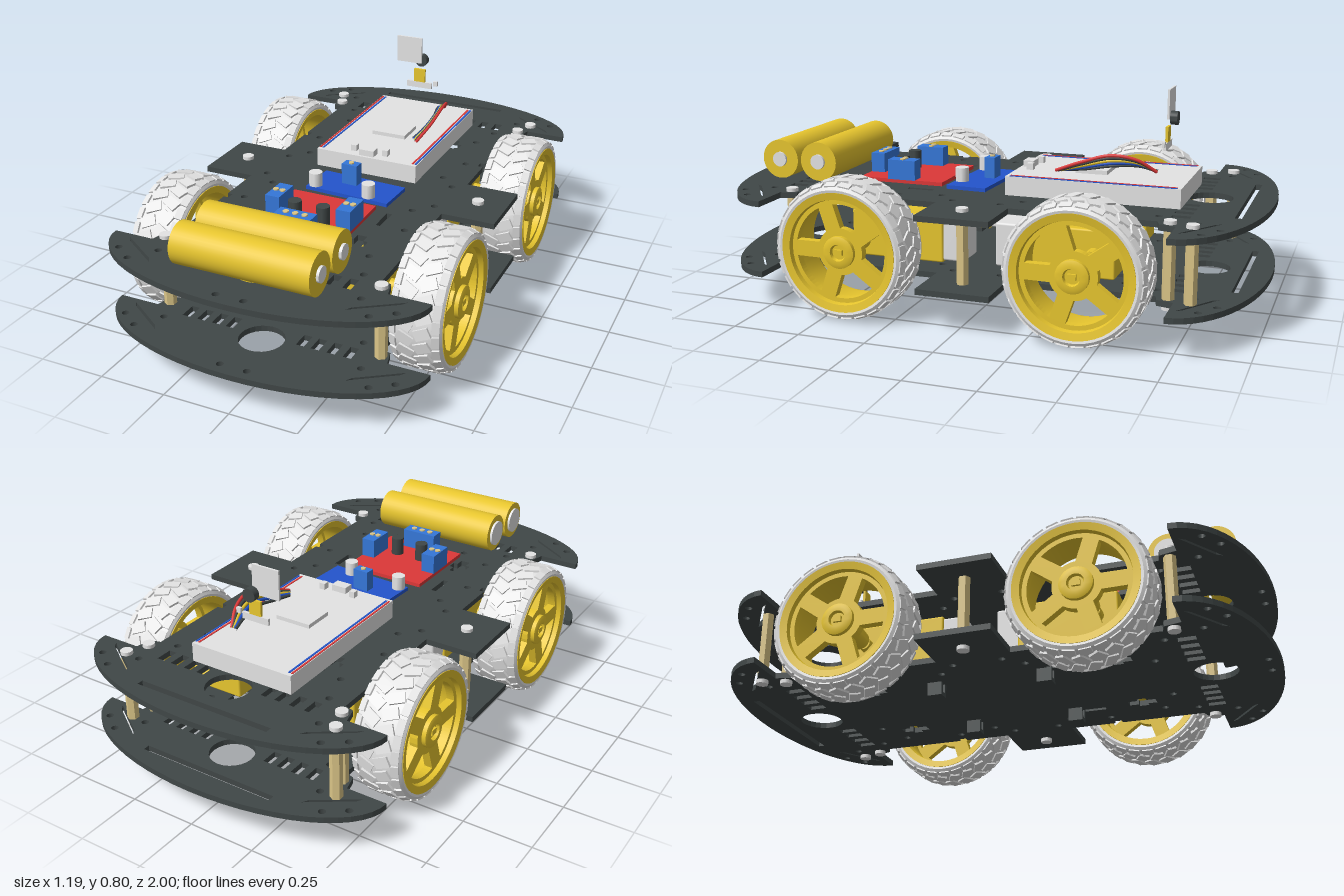
import * as THREE from 'three';
import { mergeGeometries, toCreasedNormals } from 'three/addons/utils/BufferGeometryUtils.js';
import { RoundedBoxGeometry } from 'three/addons/geometries/RoundedBoxGeometry.js';

const mat = (name, color) => Object.assign(new THREE.MeshStandardMaterial({ color }), { name });
const M = {
  dark: mat('charcoal', 0x404747),
  yellow: mat('yellow', 0xeac82f),
  grey: mat('light grey', 0xe4e4e4),
  brass: mat('brass', 0xdcc688),
  red: mat('red', 0xdc3838),
  blue: mat('board blue', 0x2354cc),
  terminal: mat('terminal blue', 0x3577d8),
};

function add(parent, name, geo, material, x = 0, y = 0, z = 0) {
  const mesh = new THREE.Mesh(geo, material);
  mesh.name = name;
  mesh.position.set(x, y, z);
  parent.add(mesh);
  return mesh;
}
const box = (w, h, d) => new THREE.BoxGeometry(w, h, d);
const cyl = (r, h, n = 24) => toCreasedNormals(new THREE.CylinderGeometry(r, r, h, n), 0.7);
const cylX = (r, h, n) => cyl(r, h, n).rotateZ(-Math.PI / 2);
const lathe = (pts, n) => toCreasedNormals(
  new THREE.LatheGeometry(pts.map(p => new THREE.Vector2(...p)), n).rotateZ(-Math.PI / 2), 0.6);
const polygon = pts => new THREE.Path(pts.map(p => new THREE.Vector2(...p)));
const SIGNS = [1, -1];

// Chassis plate: curved bumpers, wheel cut-outs, side tabs and mounting holes
function plateGeometry() {
  const quarter = [];
  for (let i = 0; i <= 14; i++) {
    const a = (i / 14) * Math.PI / 2;
    quarter.push([0.59 * Math.sin(a), 0.73 + 0.27 * Math.cos(a)]);
  }
  quarter.push([0.44, 0.73], [0.425, 0.67], [0.39, 0.66], [0.39, 0.34], [0.37, 0.34], [0.37, 0.31],
    [0.39, 0.31], [0.39, 0.135], [0.587, 0.135]);
  const half = [...quarter, ...quarter.map(([x, z]) => [x, -z]).reverse()];
  const outline = [...half, ...half.slice(1, -1).map(([x, z]) => [-x, z]).reverse()].reverse();
  const shape = new THREE.Shape(outline.map(p => new THREE.Vector2(...p)));

  const hole = pts => shape.holes.push(polygon(pts));
  const round = (x, z, r) => shape.holes.push(new THREE.Path().absarc(x, z, r, 0, Math.PI * 2, true));
  const rect = (x, z, w, d) => hole(
    [[x - w / 2, z - d / 2], [x - w / 2, z + d / 2], [x + w / 2, z + d / 2], [x + w / 2, z - d / 2]]);
  const cross = (x, z, a, b, t) => hole([[-a, -t], [-t, -t], [-t, -b], [t, -b], [t, -t], [a, -t],
    [a, t], [t, t], [t, b], [-t, b], [-t, t], [-a, t]].map(([u, v]) => [x + u, z + v]));

  rect(0, -0.906, 0.53, 0.024);
  for (const sx of SIGNS) {
    round(sx * 0.05, 0.957, 0.013);
    rect(sx * 0.222, 0.265, 0.02, 0.1);
    for (const sz of SIGNS) {
      if (sx > 0) round(0, sz * 0.77, 0.08);
      for (const [x, z] of [[0.51, 0.825], [0.44, 0.875], [0.375, 0.79], [0.32, 0.65], [0.32, 0.31],
        [0.345, 0.09], [0.285, 0.53], [0.285, 0.155], [0.16, 0.585]]) round(sx * x, sz * z, 0.013);
      for (const x of [0.135, 0.19, 0.248, 0.307]) rect(sx * x, sz * 0.722, 0.03, 0.064);
      cross(sx * 0.205, sz * 0.46, 0.035, 0.052, 0.018);
      hole([[0.518, 0.75], [0.503, 0.772], [0.358, 0.871], [0.372, 0.849]].map(([x, z]) => [sx * x, sz * z]));
    }
  }
  return new THREE.ExtrudeGeometry(shape, { depth: 0.021, bevelEnabled: false, curveSegments: 12 }).rotateX(Math.PI / 2);
}

// Fine tread: slanted centre blocks with shoulder blocks
function treadGeometry() {
  const blocks = [], count = 28;
  for (let i = 0; i < count; i++) {
    for (const s of SIGNS) {
      const a = ((i + (s > 0 ? 0 : 0.5)) / count) * Math.PI * 2;
      blocks.push(box(0.056, 0.012, 0.038).rotateY(s * 0.45).translate(s * 0.031, 0.2455, 0).rotateX(a));
      blocks.push(box(0.026, 0.012, 0.042).rotateZ(-s * 0.35).translate(s * 0.074, 0.2385, 0).rotateX(a + 0.1));
    }
  }
  return mergeGeometries(blocks);
}

// Five-spoke disc, with one spoke pointing to the front
function spokeGeometry() {
  const disc = new THREE.Shape().absarc(0, 0, 0.195, 0, Math.PI * 2);
  for (let i = 0; i < 5; i++) {
    const mid = ((i + 0.5) / 5) * Math.PI * 2;
    const hole = new THREE.Path();
    hole.absarc(0, 0, 0.17, mid - 0.46, mid + 0.46, false);
    hole.absarc(0, 0, 0.085, mid + 0.28, mid - 0.28, true);
    hole.closePath();
    disc.holes.push(hole);
  }
  return toCreasedNormals(new THREE.ExtrudeGeometry(disc, { depth: 0.03, bevelEnabled: false, curveSegments: 24 })
    .rotateY(-Math.PI / 2), 0.6);
}

function createWheel() {
  const wheel = new THREE.Group();
  wheel.name = 'wheel';
  add(wheel, 'tyre', lathe([[0.205, -0.088], [0.225, -0.0925], [0.236, -0.086], [0.2445, -0.055], [0.2465, 0],
    [0.2445, 0.055], [0.236, 0.086], [0.225, 0.0925], [0.205, 0.088], [0.205, -0.088]], 52), M.grey);
  add(wheel, 'tread', treadGeometry(), M.grey);
  add(wheel, 'rim', lathe([[0.19, -0.088], [0.216, -0.093], [0.216, -0.086], [0.207, -0.08], [0.207, 0.08],
    [0.216, 0.086], [0.216, 0.093], [0.19, 0.088], [0.185, 0.06], [0.185, -0.06], [0.19, -0.088]], 48), M.yellow);
  add(wheel, 'spokes', spokeGeometry(), M.yellow, 0.07);
  add(wheel, 'hub', lathe([[0, -0.105], [0.033, -0.105], [0.045, 0.02], [0.058, 0.03], [0.058, 0.085], [0.045, 0.09],
    [0.03, 0.09], [0.026, 0.078], [0, 0.078]], 32), M.yellow);
  add(wheel, 'axleEnd', box(0.014, 0.02, 0.03), M.yellow, 0.08);
  return wheel;
}

// Gear motor: yellow gearbox around the axle, grey can toward the middle
function createMotor(sx, sz) {
  const motor = new THREE.Group();
  motor.name = 'gearMotor';
  add(motor, 'gearbox', new RoundedBoxGeometry(0.145, 0.175, 0.36, 2, 0.007), M.yellow, sx * 0.2475, 0.258, sz * 0.32);
  add(motor, 'motorCan', new RoundedBoxGeometry(0.13, 0.16, 0.1, 2, 0.008), M.grey, sx * 0.2475, 0.258, sz * 0.11);
  add(motor, 'endTab', box(0.018, 0.042, 0.012), M.yellow, sx * 0.25, 0.258, sz * 0.503);
  add(motor, 'shaftCollar', cylX(0.024, 0.05), M.yellow, sx * 0.345, 0.258, sz * 0.425);
  add(motor, 'shaft', cylX(0.017, 0.1), M.yellow, sx * 0.37, 0.258, sz * 0.425);
  // Dark bracket hanging below the lower plate
  const frame = new THREE.Shape([[-0.023, 0], [0.023, 0], [0.023, 0.085], [-0.023, 0.085]].map(p => new THREE.Vector2(...p)));
  frame.holes.push(polygon([[-0.01, 0.015], [-0.01, 0.05], [0.01, 0.05], [0.01, 0.015]]));
  add(motor, 'bracket', new THREE.ExtrudeGeometry(frame, { depth: 0.054, bevelEnabled: false }), M.dark,
    sx * 0.203, 0.085, sz * 0.205 - 0.027);
  return motor;
}

function createStandoff(x, z) {
  const post = new THREE.Group();
  post.name = 'standoff';
  post.position.set(x, 0, z);
  add(post, 'spacer', toCreasedNormals(new THREE.CylinderGeometry(0.022, 0.022, 0.24, 6), 0.5), M.brass, 0, 0.275, 0);
  add(post, 'topScrew', cyl(0.022, 0.014, 16), M.grey, 0, 0.421, 0);
  add(post, 'bottomScrew', cyl(0.022, 0.015, 16), M.grey, 0, 0.127, 0);
  return post;
}

export function createModel() {
  const car = new THREE.Group();
  car.name = 'robotCar';
  const plate = plateGeometry();
  add(car, 'lowerPlate', plate, M.dark, 0, 0.155, 0);
  add(car, 'upperPlate', plate, M.dark, 0, 0.415, 0);

  // Running gear and plate supports
  for (const sx of SIGNS) {
    for (const sz of SIGNS) {
      const wheel = createWheel();
      wheel.position.set(sx * 0.502, 0.255, sz * 0.423);
      if (sx < 0) wheel.rotation.z = Math.PI;
      car.add(wheel, createMotor(sx, sz));
    }
    for (const [x, z] of [[0.405, 0.7], [0.48, 0], [0.405, -0.705], [0.435, -0.785]]) car.add(createStandoff(sx * x, z));
  }

  // Batteries
  for (const z of [0.672, 0.833]) {
    add(car, 'battery', cylX(0.074, 0.508, 40), M.yellow, 0, 0.496, z);
    add(car, 'batteryPositive', cylX(0.028, 0.012), M.grey, 0.258, 0.496, z);
    add(car, 'batteryNegative', cylX(0.05, 0.01), M.grey, -0.258, 0.496, z);
  }

  // Motor driver board
  add(car, 'driverBoard', box(0.33, 0.014, 0.335), M.red, 0, 0.424, 0.373);
  for (const [x, z, w, d] of [[-0.138, 0.37, 0.055, 0.11], [0.138, 0.37, 0.055, 0.11], [0, 0.512, 0.14, 0.055]]) {
    add(car, 'screwTerminal', box(w, 0.075, d), M.terminal, x, 0.467, z);
    const along = w > d, n = along ? 3 : 2;
    for (let i = 0; i < n; i++) {
      const t = (i - (n - 1) / 2) * (along ? 0.036 : 0);
      const across = along ? 0 : (i - 0.5) * 0.026;
      add(car, 'terminalScrew', cyl(0.011, 0.006, 10), M.brass, x + t + across, 0.506, z);
    }
  }
  for (const sx of SIGNS) add(car, 'capacitor', cyl(0.024, 0.07), M.dark, sx * 0.055, 0.465, 0.41);

  // Power regulator board
  const regulator = new THREE.Group();
  regulator.name = 'regulatorBoard';
  regulator.position.set(0.03, 0, 0.09);
  regulator.rotation.y = -0.05;
  add(regulator, 'board', box(0.335, 0.014, 0.155), M.blue, 0, 0.424, 0);
  add(regulator, 'trimmer', box(0.062, 0.08, 0.04), M.terminal, -0.03, 0.47, -0.025);
  add(regulator, 'trimmerScrew', cyl(0.01, 0.006, 10), M.brass, -0.03, 0.512, -0.025);
  for (const x of [-0.14, 0.08]) add(regulator, 'canCapacitor', cyl(0.025, 0.055), M.grey, x, 0.456, 0.052);
  car.add(regulator);

  // Breadboard with supply stripes and small parts
  add(car, 'breadboard', box(0.412, 0.07, 0.64), M.grey, 0.002, 0.45, -0.38);
  for (const [x, m] of [[-0.198, M.red], [-0.186, M.blue], [0.19, M.red], [0.202, M.blue]])
    add(car, 'supplyStripe', box(0.007, 0.003, 0.61), m, x, 0.4855, -0.38);
  add(car, 'chip', box(0.14, 0.016, 0.12), M.grey, 0, 0.492, -0.343);
  for (const [x, z, w] of [[-0.065, -0.11, 0.022], [0.065, -0.11, 0.022], [0, -0.09, 0.06]])
    add(car, 'pinBlock', box(w, 0.024, w > 0.05 ? 0.04 : 0.025), M.grey, x, 0.497, z);

  // Jumper wires
  [M.dark, M.blue, M.yellow, M.dark, M.red].forEach((m, i) => {
    const k = i - 2;
    const path = new THREE.CatmullRomCurve3([[0.11 + k * 0.004, 0.52, -0.595], [0.13 + k * 0.009, 0.55 + k * 0.007, -0.53],
      [0.147 + k * 0.009, 0.556 + k * 0.011, -0.44], [0.142 + k * 0.009, 0.53 + k * 0.008, -0.33],
      [0.126 + k * 0.006, 0.505, -0.245 + k * 0.008]].map(p => new THREE.Vector3(...p)));
    add(car, 'jumperWire', new THREE.TubeGeometry(path, 24, 0.006, 8), m);
  });

  // Camera on its slim mount
  add(car, 'cameraPlate', box(0.108, 0.108, 0.008), M.grey, -0.047, 0.744, -0.607);
  add(car, 'cameraLens', cyl(0.025, 0.026).rotateX(Math.PI / 2), M.dark, 0, 0.697, -0.63);
  add(car, 'mountBase', box(0.108, 0.025, 0.01), M.grey, 0, 0.598, -0.607);
  add(car, 'mountPost', box(0.048, 0.055, 0.01), M.yellow, 0, 0.638, -0.607);
  add(car, 'mountPin', box(0.018, 0.02, 0.01), M.grey, 0.07, 0.61, -0.607);
  return car;
}
